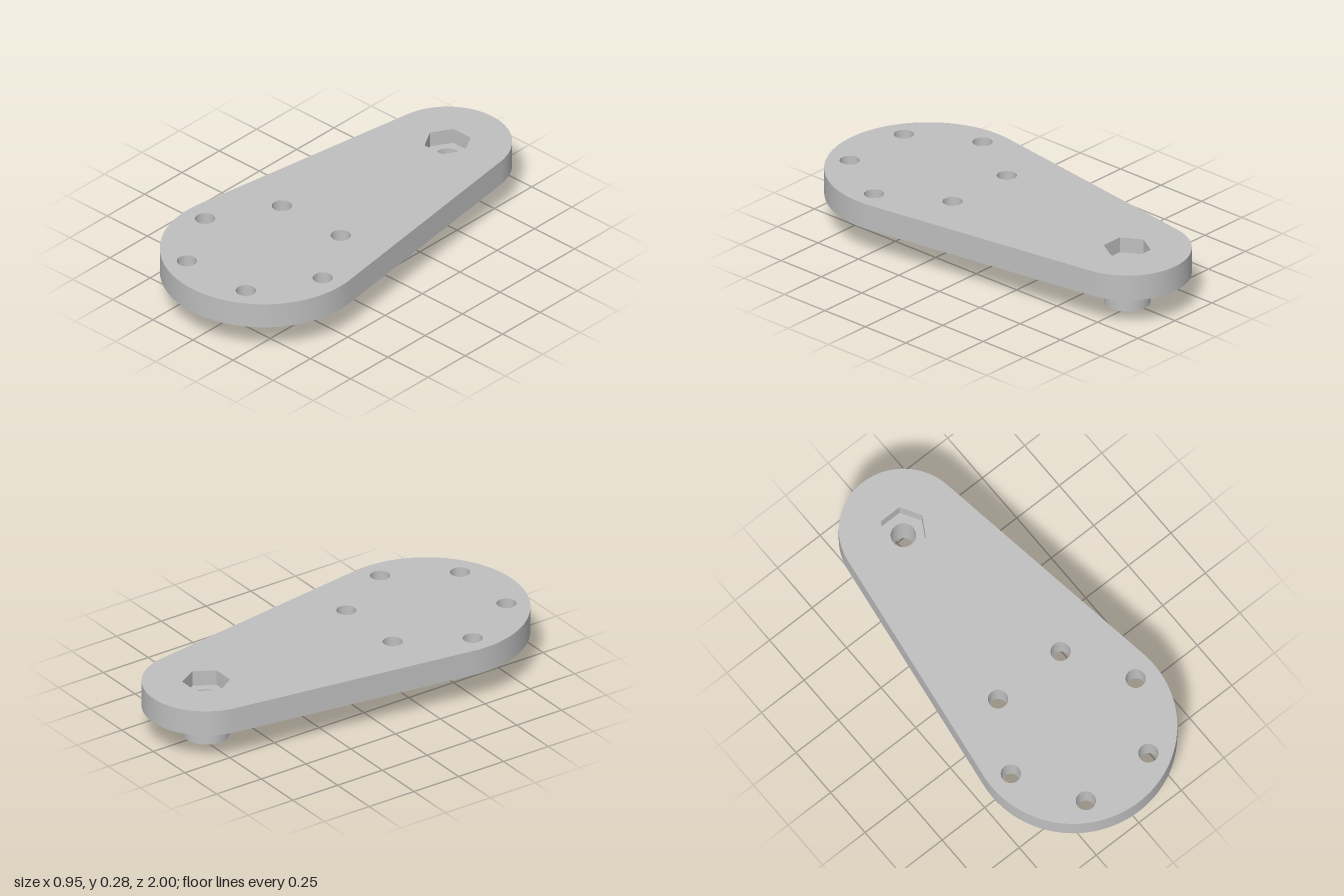
import * as THREE from 'three';
import { toCreasedNormals } from 'three/addons/utils/BufferGeometryUtils.js';

// Plan shapes use shape y = -z, so extrusion runs up the model's y axis.
const BIG = { y: -0.525, r: 0.475 };
const SMALL = { y: 0.705, r: 0.295 };
const PLATE_BOTTOM = 0.15, PLATE_TOP = 0.275, SOCKET_FLOOR = 0.2;
const BORE = 0.058;

function circle(x, y, r, Type = THREE.Path) {
  return new Type().absarc(x, y, r, 0, Math.PI * 2, false);
}

function hexagon(x, y, r, Type = THREE.Path) {
  const points = [];
  for (let i = 0; i < 6; i++) {
    const a = (i * Math.PI) / 3;
    points.push(new THREE.Vector2(x + r * Math.cos(a), y + r * Math.sin(a)));
  }
  return new Type(points).closePath();
}

export function createModel() {
  const group = new THREE.Group();
  const metal = new THREE.MeshStandardMaterial({ color: 0xbfbfbf });
  metal.name = 'grey metal';

  function addSlab(name, shape, bottom, top) {
    const extruded = new THREE.ExtrudeGeometry(shape, {
      depth: top - bottom, bevelEnabled: false, curveSegments: 32,
    });
    extruded.rotateX(-Math.PI / 2).translate(0, bottom, 0);
    const mesh = new THREE.Mesh(toCreasedNormals(extruded, 0.5), metal);
    mesh.name = name;
    group.add(mesh);
  }

  // Tapered arm: two round ends joined by their common tangents
  const a = Math.asin((BIG.r - SMALL.r) / (SMALL.y - BIG.y));
  const plate = new THREE.Shape();
  plate.absarc(0, BIG.y, BIG.r, Math.PI - a, Math.PI * 2 + a, false);
  plate.absarc(0, SMALL.y, SMALL.r, a, Math.PI - a, false);

  // Ring of six bolt holes in the wide end
  for (let i = 0; i < 6; i++) {
    const t = (i * Math.PI) / 3;
    plate.holes.push(circle(0.367 * Math.cos(t), BIG.y + 0.367 * Math.sin(t), 0.046));
  }
  // Hexagonal socket in the narrow end
  plate.holes.push(hexagon(0, SMALL.y, 0.11));
  addSlab('armPlate', plate, PLATE_BOTTOM, PLATE_TOP);

  // Socket floor, collar and spigot share one central bore
  function addBored(name, shape, bottom, top) {
    shape.holes.push(circle(0, SMALL.y, BORE));
    addSlab(name, shape, bottom, top);
  }
  addBored('socketFloor', hexagon(0, SMALL.y, 0.11, THREE.Shape), PLATE_BOTTOM, SOCKET_FLOOR);
  addBored('collar', circle(0, SMALL.y, 0.122, THREE.Shape), 0.138, PLATE_BOTTOM);
  addBored('spigot', circle(0, SMALL.y, 0.106, THREE.Shape), 0, 0.138);

  return group;
}
